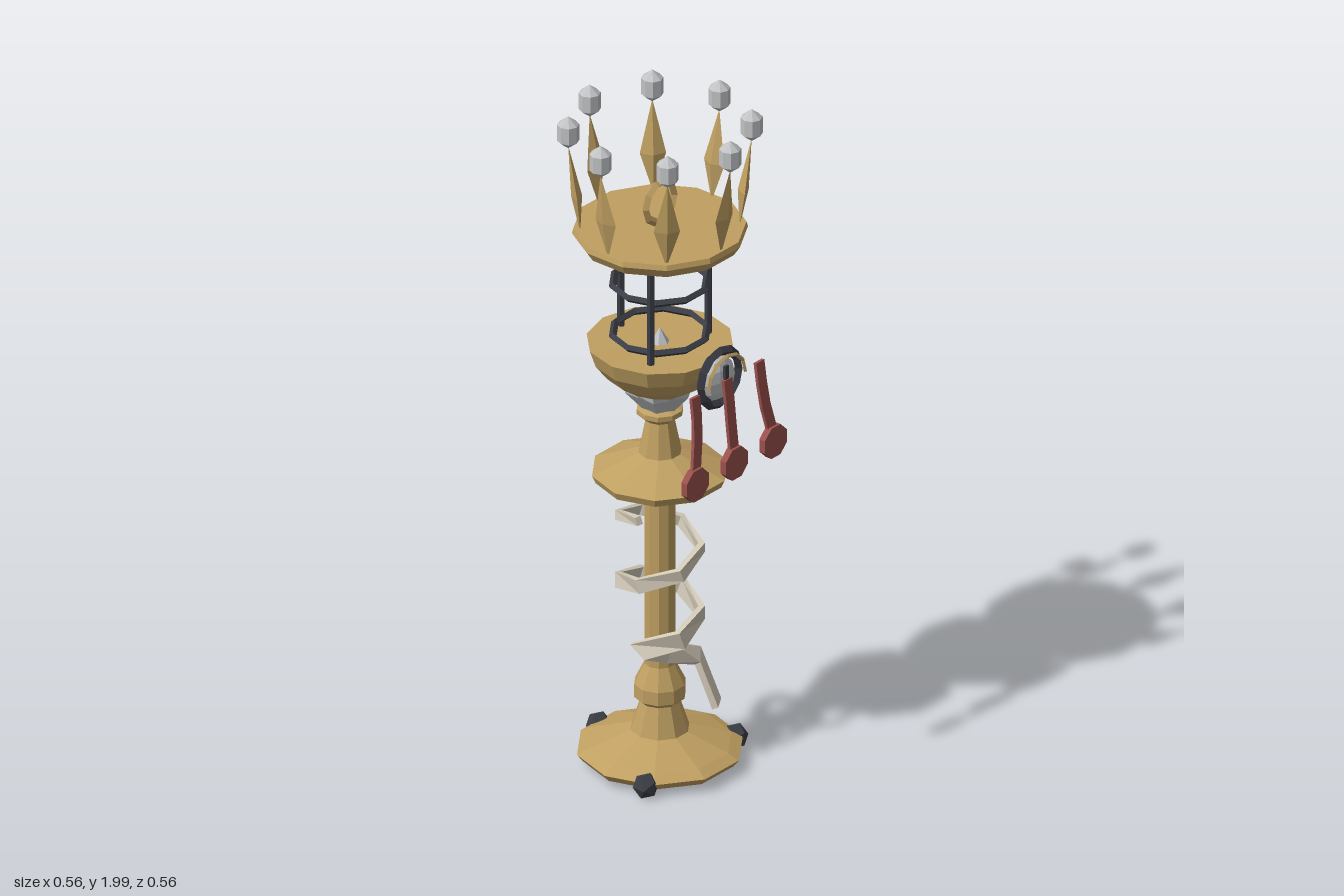
import * as THREE from 'three';
import { ConvexGeometry } from 'three/addons/geometries/ConvexGeometry.js';

const mat = (name, color) => new THREE.MeshStandardMaterial({ name, color, flatShading: true });
const V = (x, y, z) => new THREE.Vector3(x, y, z);

// Turned solid from [radius, height] pairs
function turned(profile, sides, start = 0) {
  return new THREE.LatheGeometry(profile.map(([r, y]) => new THREE.Vector2(r, y)), sides, start);
}

// Flat band along points; outward(p) gives its face direction, width(t) its half width
function band(points, outward, width, depth) {
  const pos = [], idx = [], n = points.length;
  points.forEach((p, i) => {
    const t = points[Math.min(i + 1, n - 1)].clone().sub(points[Math.max(i - 1, 0)]).normalize();
    const r = outward(p);
    r.addScaledVector(t, -r.dot(t)).normalize();
    const b = t.clone().cross(r), w = width(i / (n - 1));
    for (const [dr, db] of [[1, 1], [-1, 1], [-1, -1], [1, -1]]) {
      pos.push(...p.clone().addScaledVector(r, dr * depth).addScaledVector(b, db * w).toArray());
    }
    if (i < n - 1) for (let k = 0; k < 4; k++) {
      const a = i * 4 + k, c = i * 4 + (k + 1) % 4;
      idx.push(a, c, c + 4, a, c + 4, a + 4);
    }
  });
  const e = (n - 1) * 4;
  idx.push(0, 3, 2, 0, 2, 1, e, e + 1, e + 2, e, e + 2, e + 3);
  const g = new THREE.BufferGeometry();
  g.setAttribute('position', new THREE.Float32BufferAttribute(pos, 3));
  g.setIndex(idx);
  g.computeVertexNormals();
  return g;
}

export function createModel() {
  const model = new THREE.Group();
  model.name = 'sceptre';
  const gold = mat('gold', 0xc0a062), silver = mat('silver', 0xc0c2c4), iron = mat('dark iron', 0x3b3d46);
  const red = mat('red', 0x9a504c), ivory = mat('ivory', 0xd3cab8);
  const add = (name, geo, material, x = 0, y = 0, z = 0) => {
    const m = new THREE.Mesh(geo, material);
    m.name = name;
    m.position.set(x, y, z);
    model.add(m);
    return m;
  };

  // Base, shaft, collar and neck
  add('stem', turned([[0, 0.03], [0.215, 0.03], [0.232, 0.052], [0.2, 0.068], [0.082, 0.11], [0.055, 0.195],
    [0.072, 0.21], [0.072, 0.25], [0.043, 0.31], [0.043, 0.84], [0.07, 0.882], [0.18, 0.882], [0.19, 0.905],
    [0.06, 0.96], [0.04, 1.06], [0.065, 1.08], [0.065, 1.095], [0.04, 1.105], [0, 1.105]], 10, Math.PI / 10), gold);

  // Feet and cage posts, three around the axis
  for (const a of [Math.PI / 3, Math.PI, -Math.PI / 3]) {
    const s = Math.sin(a), c = Math.cos(a);
    add('foot', new THREE.IcosahedronGeometry(0.037, 0), iron, 0.218 * s, 0.042, 0.218 * c);
    add('cagePost', new THREE.CylinderGeometry(0.011, 0.011, 0.34, 6), iron, 0.139 * s, 1.455, 0.139 * c);
  }

  // Band coiling round the shaft, with a hanging tail
  const coil = [V(0.085, 0.19, 0.13), V(0.065, 0.33, 0.08), V(-0.035, 0.375, 0.062)];
  for (let k = 0; k <= 12; k++) {
    const a = (-80 + k * 60) * Math.PI / 180;
    coil.push(V(0.113 * Math.sin(a), 0.395 + k / 30, 0.113 * Math.cos(a)));
  }
  add('coil', band(coil, p => V(p.x, 0, p.z), t => 0.033 - 0.021 * t, 0.009), ivory);

  // Pointed calyx under the bowl
  const calyx = turned([[0.045, 1.092], [0.1, 1.155], [0.108, 1.19]], 12);
  const cp = calyx.attributes.position;
  for (let i = 0; i < cp.count; i++) {
    if (Math.floor(i / 3) % 2) {
      cp.setXYZ(i, cp.getX(i) * 0.86, cp.getY(i) - (i % 3 === 2 ? 0.025 : 0), cp.getZ(i) * 0.86);
    }
  }
  calyx.computeVertexNormals();
  const calyxSilver = silver;
  calyxSilver.side = THREE.DoubleSide;
  add('calyx', calyx, calyxSilver);

  // Bowl with its cage
  add('bowl', turned([[0, 1.15], [0.08, 1.155], [0.15, 1.205], [0.185, 1.25], [0.202, 1.3], [0, 1.295]], 12), gold);
  add('wickCone', new THREE.ConeGeometry(0.03, 0.05, 6), silver, 0, 1.315, 0);
  for (const y of [1.328, 1.482]) {
    add('cageRing', new THREE.TorusGeometry(0.132, 0.011, 4, 10), iron, 0, y, 0).rotation.x = Math.PI / 2;
  }

  // Crown plate with ring, spikes and pearls
  add('crownPlate', turned([[0, 1.612], [0.222, 1.612], [0.24, 1.64], [0.236, 1.655], [0, 1.655]], 12, Math.PI / 12), gold);
  add('topRing', new THREE.TorusGeometry(0.06, 0.012, 4, 10), gold, 0, 1.727, 0);
  const spike = new ConvexGeometry([V(0, 1.64, 0.217), V(0.036, 1.755, 0.228), V(-0.036, 1.755, 0.228),
    V(0, 1.755, 0.242), V(0, 1.755, 0.212), V(0, 1.91, 0.25)]);
  const pearl = new THREE.SphereGeometry(0.035, 8, 3).scale(1, 1.4, 1);
  for (let k = 0; k < 8; k++) {
    const a = k * Math.PI / 4;
    add('crownSpike', spike, gold).rotation.y = a;
    add('pearl', pearl, silver, 0.25 * Math.sin(a), 1.951, 0.25 * Math.cos(a));
  }

  // Front medallion
  add('medallionRing', new THREE.TorusGeometry(0.08, 0.014, 4, 12), iron, 0, 1.258, 0.212);
  add('medallionArc', new THREE.TorusGeometry(0.078, 0.006, 4, 6, Math.PI), gold, 0, 1.255, 0.238);
  add('medallionGem', new THREE.SphereGeometry(0.064, 10, 6).scale(1, 1, 0.4), silver, 0, 1.255, 0.208);
  add('medallionPupil', new THREE.BoxGeometry(0.014, 0.075, 0.008), iron, 0, 1.265, 0.235);

  // Ribbons with octagonal seals
  const seal = new THREE.CylinderGeometry(0.05, 0.05, 0.02, 8, 1, false, Math.PI / 8).rotateX(Math.PI / 2);
  for (const s of [-1, 0, 1]) {
    const path = [V(s * 0.135, 1.262, 0.238), V(s * 0.136, 1.2, 0.246), V(s * 0.143, 1.13, 0.253), V(s * 0.16, 1.05, 0.262)];
    add('ribbon', band(path, () => V(0, 0, 1), () => 0.017, 0.005), red);
    add('ribbonSeal', seal, red, s * 0.164, 1.015, 0.264);
  }
  return model;
}
